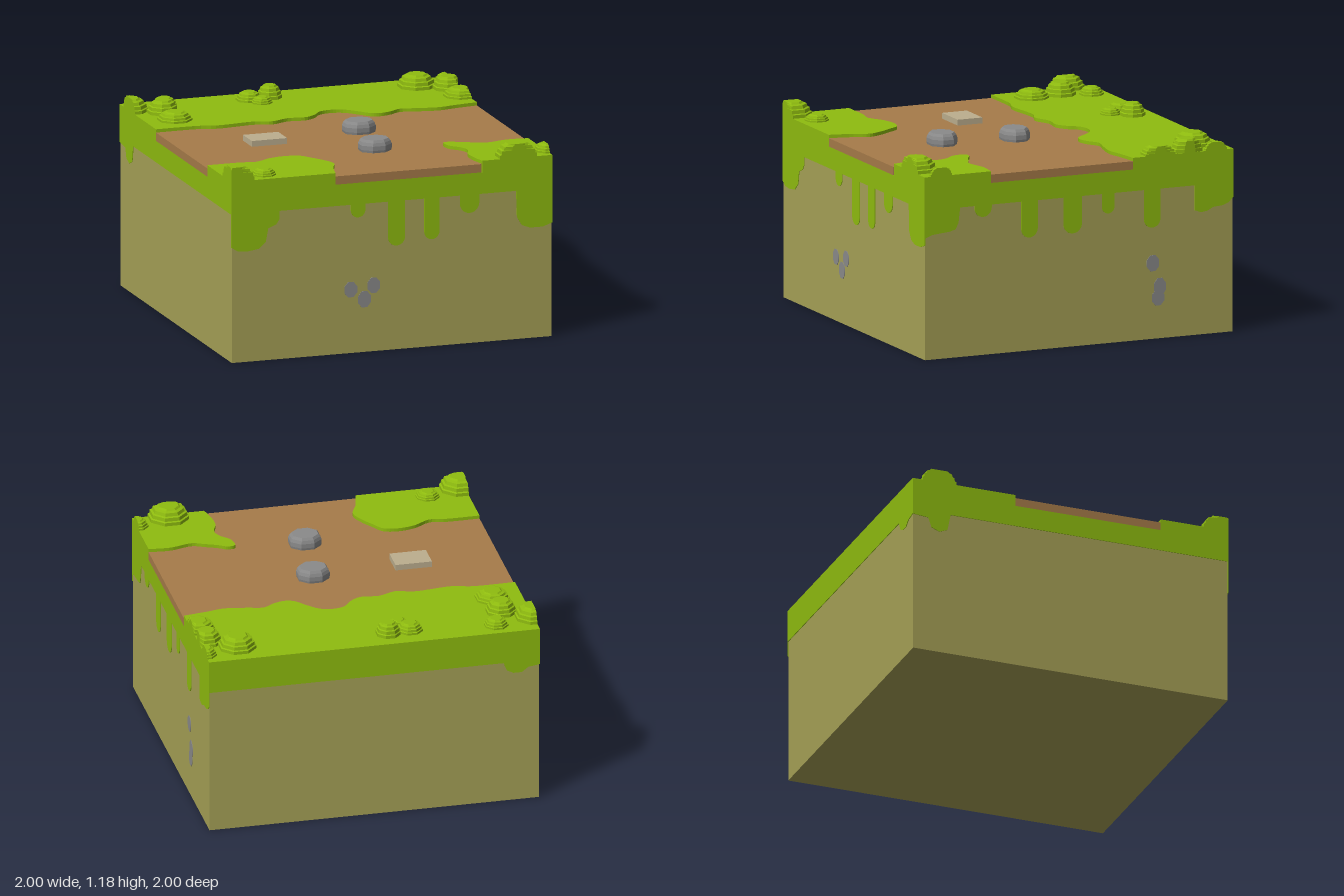
import * as THREE from 'three';

const paint = (name, hex) => {
  const m = new THREE.MeshStandardMaterial({ color: hex });
  m.name = name;
  return m;
};

export function createModel() {
  const grass = paint('grassGreen', 0x8fbc0f);
  const dirt = paint('paleDirt', 0xa6a156);
  const path = paint('pathBrown', 0xa67b49);
  const stone = paint('stoneGrey', 0x8a8a8a);
  const slab = paint('slabBeige', 0xbcae8e);

  const model = new THREE.Group();
  model.name = 'terrainBlock';
  const add = (name, geo, mat, parent = model) => {
    const m = new THREE.Mesh(geo, mat);
    m.name = name;
    parent.add(m);
    return m;
  };
  const box = (name, mat, x0, x1, y0, y1, z0, z1) =>
    add(name, new THREE.BoxGeometry(x1 - x0, y1 - y0, z1 - z0)
      .translate((x0 + x1) / 2, (y0 + y1) / 2, (z0 + z1) / 2), mat);

  // Dirt core and the sunken path, flush with the sides only where it meets them
  box('dirtCore', dirt, -0.996, 0.996, 0, 1.03, -0.996, 0.996);
  box('pathBed', path, -0.99, 0.99, 1.025, 1.08, -0.99, 0.99);
  box('pathCrossing', path, -1, 1, 1.03, 1.08, -0.35, 0.57);
  box('pathFront', path, -0.35, 0.56, 1.03, 1.08, 0.5, 1);

  // Raised lawns: a wavy edge closed off by the block's corners
  const lawn = (name, edge, corners) => {
    const curve = new THREE.SplineCurve(edge.map(([x, z]) => new THREE.Vector2(x, -z)));
    const pts = curve.getPoints(edge.length * 4);
    corners.forEach(([x, z]) => pts.push(new THREE.Vector2(x, -z)));
    const geo = new THREE.ExtrudeGeometry(new THREE.Shape(pts), { depth: 0.07, bevelEnabled: false });
    add(name, geo.rotateX(-Math.PI / 2).translate(0, 1.03, 0), grass);
  };
  lawn('backLawn', [
    [-1, -0.35], [-0.75, -0.35], [-0.62, -0.32], [-0.4, -0.34], [-0.29, -0.31], [-0.18, -0.35],
    [-0.07, -0.34], [0, -0.38], [0.05, -0.44], [0.12, -0.46], [0.2, -0.44], [0.27, -0.37],
    [0.32, -0.31], [0.38, -0.29], [0.45, -0.31], [0.52, -0.35], [0.62, -0.33], [0.75, -0.31],
    [0.86, -0.33], [1, -0.35]], [[1, -1], [-1, -1]]);
  lawn('frontRightLawn', [
    [-1, 0.57], [-0.8, 0.57], [-0.7, 0.585], [-0.6, 0.53], [-0.5, 0.51], [-0.41, 0.53],
    [-0.36, 0.6], [-0.31, 0.68], [-0.28, 0.77], [-0.32, 0.87], [-0.35, 1]], [[-1, 1]]);
  lawn('frontLeftLawn', [
    [0.565, 1], [0.545, 0.91], [0.54, 0.81], [0.57, 0.72], [0.55, 0.65], [0.5, 0.59],
    [0.49, 0.51], [0.54, 0.5], [0.59, 0.53], [0.66, 0.56], [0.74, 0.59], [0.87, 0.56],
    [1, 0.57]], [[1, 1]]);

  // Thin grass skirt on one side: corner outlines plus round-ended drips [centre, half width, bottom]
  const skirt = (name, turn, start, drips, end) => {
    const s = new THREE.Shape();
    s.moveTo(-1, 1.03);
    start.forEach(([u, y]) => s.lineTo(u, y));
    drips.forEach(([c, w, low]) => {
      s.lineTo(c - w, 0.9);
      s.absarc(c, low + w, w, Math.PI, 2 * Math.PI, false);
      s.lineTo(c + w, 0.9);
    });
    end.forEach(([u, y]) => s.lineTo(u, y));
    s.lineTo(1, 1.03);
    const geo = new THREE.ExtrudeGeometry(s, { depth: 0.004, bevelEnabled: false, curveSegments: 8 });
    add(name, geo.translate(0, 0, 0.996).rotateY(turn), grass);
  };
  skirt('frontSkirt', 0,
    [[-1, 0.7], [-0.96, 0.675], [-0.9, 0.67], [-0.83, 0.68], [-0.785, 0.72], [-0.77, 0.8],
      [-0.72, 0.82], [-0.7, 0.85], [-0.7, 0.9]],
    [[-0.21, 0.045, 0.82], [0.03, 0.053, 0.63], [0.25, 0.047, 0.65], [0.485, 0.06, 0.79]],
    [[0.775, 0.9], [0.78, 0.74], [0.81, 0.69], [0.86, 0.67], [0.94, 0.67], [1, 0.69]]);
  skirt('leftSkirt', Math.PI / 2,
    [[-1, 0.73], [-0.95, 0.75], [-0.84, 0.76], [-0.8, 0.77], [-0.78, 0.81], [-0.77, 0.9]],
    [[-0.62, 0.055, 0.83], [-0.32, 0.053, 0.68], [-0.04, 0.06, 0.68], [0.19, 0.04, 0.78],
      [0.475, 0.053, 0.67]],
    [[0.75, 0.9], [0.75, 0.75], [0.79, 0.735], [0.83, 0.74], [0.87, 0.76], [0.93, 0.765],
      [0.97, 0.78], [1, 0.81]]);
  skirt('backSkirt', Math.PI, [[-1, 0.9]], [],
    [[0.78, 0.9], [0.8, 0.85], [0.84, 0.83], [0.89, 0.83], [0.93, 0.86], [1, 0.87]]);
  skirt('rightSkirt', -Math.PI / 2,
    [[-1, 0.87], [-0.9, 0.86], [-0.88, 0.8], [-0.83, 0.78], [-0.78, 0.8], [-0.76, 0.9]], [],
    [[1, 0.9]]);

  // Eight-sided faceted mound, cut flush with the block's sides
  const mound = (profile, rx, rz, h, x, y, z) => {
    const pts = profile.map(([r, t]) => new THREE.Vector2(r, t));
    let geo = new THREE.LatheGeometry(pts, 8, Math.PI / 8);
    geo = geo.scale(rx, h, rz).translate(x, y, z).toNonIndexed();
    const p = geo.attributes.position;
    for (let i = 0; i < p.count; i++) {
      p.setX(i, THREE.MathUtils.clamp(p.getX(i), -1, 1));
      p.setZ(i, THREE.MathUtils.clamp(p.getZ(i), -1, 1));
    }
    geo.computeVertexNormals();
    return geo;
  };

  // Bushes [x, z, radius, height]
  const bushProfile = [[1.04, 0], [1.04, 0.25], [0.95, 0.3], [0.93, 0.55], [0.82, 0.6],
    [0.77, 0.82], [0.6, 0.88], [0.52, 1], [0, 1]];
  const bushes = new THREE.Group();
  bushes.name = 'bushes';
  model.add(bushes);
  [
    [-1, -0.83, 0.11, 0.08], [-0.76, -0.89, 0.07, 0.05], [-0.83, -0.72, 0.09, 0.08],
    [-0.82, -0.53, 0.1, 0.055],
    [-0.25, -0.84, 0.075, 0.055], [-0.115, -0.86, 0.072, 0.08], [-0.2, -0.755, 0.06, 0.04],
    [0.79, -0.83, 0.11, 0.08], [0.95, -0.72, 0.09, 0.08], [1, -0.89, 0.07, 0.05],
    [0.96, -0.53, 0.1, 0.055],
    [-0.97, 0.96, 0.12, 0.085], [-0.76, 0.89, 0.07, 0.04],
    [0.79, 0.96, 0.12, 0.085], [1, 0.89, 0.07, 0.05],
  ].forEach(([x, z, r, h]) => add('bush', mound(bushProfile, r, r, h, x, 1.099, z), grass, bushes));

  // Boulders on the path
  const rockProfile = [[1.02, 0], [1.06, 0.2], [1.06, 0.55], [0.98, 0.8], [0.85, 1], [0, 1]];
  [[0.135, 0.02], [0.08, 0.465]].forEach(([x, z]) =>
    add('boulder', mound(rockProfile, 0.096, 0.084, 0.075, x, 1.079, z), stone));

  // Flat paving slab
  box('pavingSlab', slab, -0.58, -0.36, 1.075, 1.115, 0, 0.16);

  // Pebbles set into the side walls [across, y, half width, half height]
  const pebble = (turn, u, y, w, h) =>
    add('pebble', new THREE.CylinderGeometry(1, 1, 0.004, 8, 1, false, Math.PI / 8)
      .rotateX(Math.PI / 2).scale(w, h, 1).translate(u, y, 0.997).rotateY(turn), stone);
  [[-0.255, 0.385, 0.043, 0.05], [-0.17, 0.32, 0.043, 0.053], [-0.112, 0.4, 0.043, 0.05]]
    .forEach((s) => pebble(0, ...s));
  [[0.48, 0.455, 0.043, 0.052], [0.525, 0.31, 0.041, 0.057], [0.513, 0.245, 0.043, 0.05]]
    .forEach((s) => pebble(Math.PI / 2, ...s));

  return model;
}
